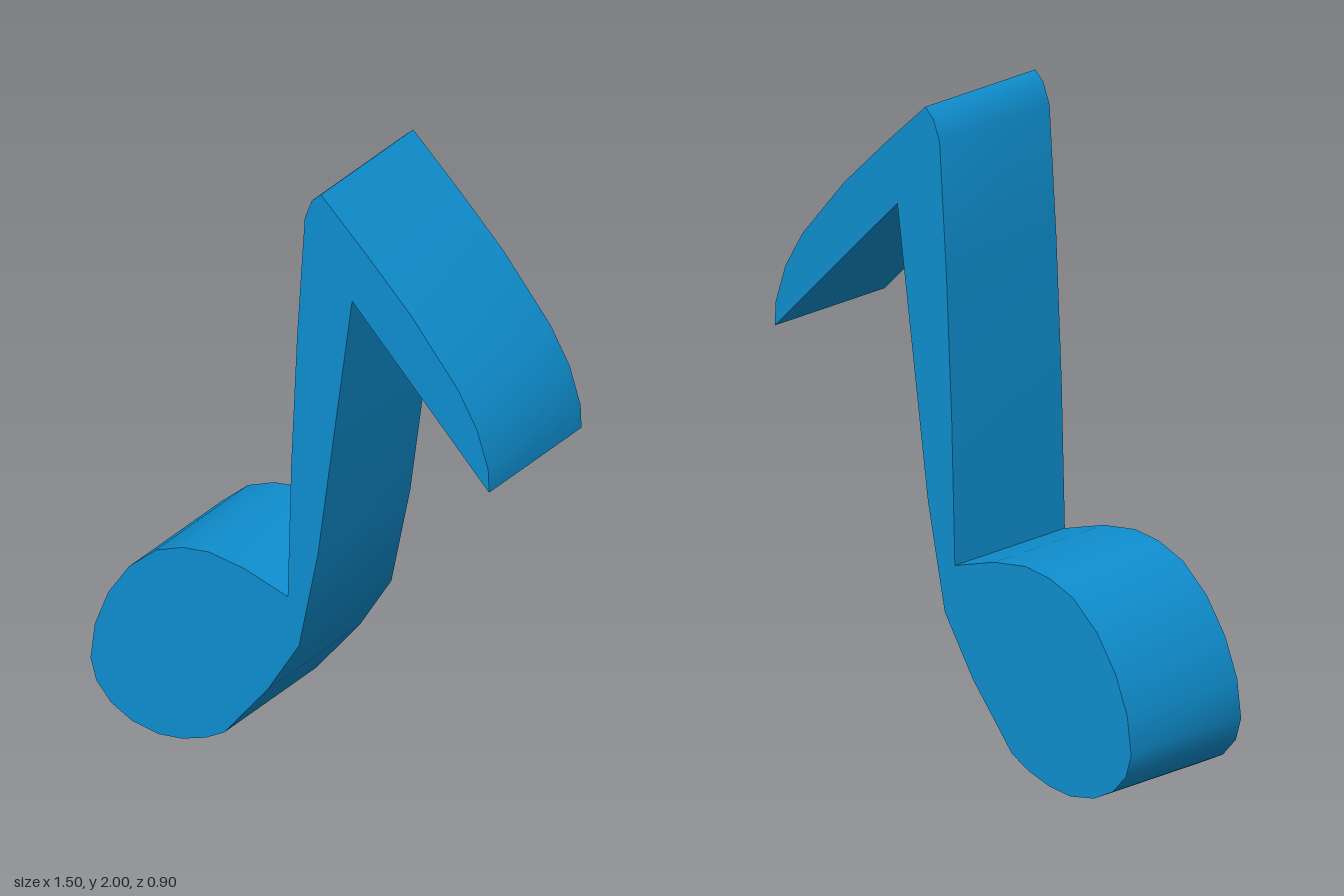
import * as THREE from 'three';
import { toCreasedNormals } from 'three/addons/utils/BufferGeometryUtils.js';

const TURN = Math.atan(1 / 3); // the note is turned about its upright axis
const DEPTH = 0.475;

// Outline of the note, counter-clockwise: x before turning, y up
const OUTLINE = [
  // underside of the head and right side of the stem
  [-0.37, 0], [-0.29, 0.012], [-0.21, 0.042], [-0.148, 0.08], [0, 0.275], [0.106, 0.457],
  [0.17, 0.785], [0.225, 1.21], [0.286, 1.677],
  // flag
  [0.75, 1.19], [0.747, 1.265], [0.71, 1.385], [0.645, 1.5], [0.487, 1.695], [0.335, 1.85],
  // top of the stem and its left side
  [0.18, 2], [0.17, 1.99], [0.15, 1.97], [0.126, 1.905], [0.1, 1.5], [0.08, 1.06], [0.068, 0.61],
  // round head
  [-0.08, 0.655], [-0.2, 0.67], [-0.29, 0.655], [-0.38, 0.615], [-0.47, 0.53], [-0.54, 0.42],
  [-0.585, 0.3], [-0.6, 0.18], [-0.58, 0.11], [-0.53, 0.052], [-0.46, 0.015],
];

export function createModel() {
  const blue = new THREE.MeshStandardMaterial({ color: 0x0f8fd0 });
  blue.name = 'blue';

  const points = OUTLINE.map(([x, y]) => new THREE.Vector2((x - 0.075) / Math.cos(TURN), y));
  let geometry = new THREE.ExtrudeGeometry(new THREE.Shape(points), { depth: DEPTH, bevelEnabled: false });
  geometry.translate(0, 0, -DEPTH / 2);
  geometry = toCreasedNormals(geometry, 0.62);

  const note = new THREE.Mesh(geometry, blue);
  note.name = 'musicalNote';
  note.rotation.y = TURN;

  const model = new THREE.Group();
  model.name = 'eighthNote';
  model.add(note);
  return model;
}
